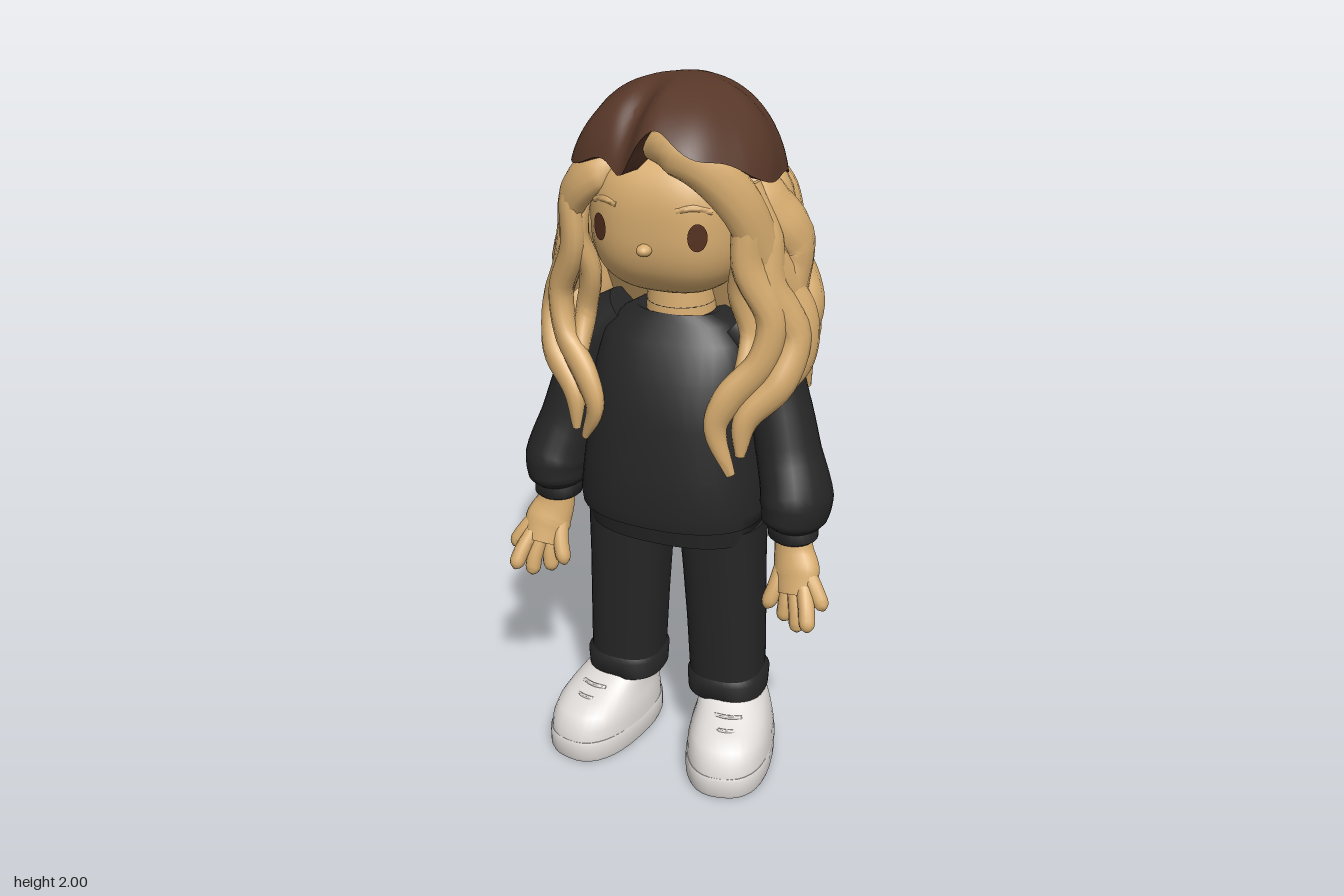
import * as THREE from 'three';
import { toCreasedNormals } from 'three/addons/utils/BufferGeometryUtils.js';

const flat = (name, color) => Object.assign(new THREE.MeshStandardMaterial({ color }), { name });
const V = (x, y, z) => new THREE.Vector3(x, y, z);
const spow = (v, p) => Math.sign(v) * Math.abs(v) ** p;

// Closed skin over a list of equal rings (counterclockwise about the travel direction)
function skin(rings, crease = 0.9) {
  const n = rings[0].length, pos = [], idx = [];
  rings.forEach(r => r.forEach(p => pos.push(p.x, p.y, p.z)));
  for (let i = 0; i < rings.length - 1; i++)
    for (let j = 0; j < n; j++) {
      const k = (j + 1) % n, a = i * n + j, b = i * n + k;
      idx.push(a, b, a + n, b, b + n, a + n);
    }
  [0, rings.length - 1].forEach((i, end) => {
    const c = rings[i].reduce((s, p) => s.add(p), V(0, 0, 0)).divideScalar(n);
    const ci = pos.length / 3;
    pos.push(c.x, c.y, c.z);
    for (let j = 0; j < n; j++) {
      const a = i * n + j, b = i * n + (j + 1) % n;
      idx.push(...(end ? [ci, a, b] : [ci, b, a]));
    }
  });
  const g = new THREE.BufferGeometry();
  g.setAttribute('position', new THREE.Float32BufferAttribute(pos, 3));
  g.setIndex(idx);
  return toCreasedNormals(g, crease);
}

// Stack of superellipse sections: [y, xCentre, zCentre, xRadius, zRadius]
function stack(rows, power = 2.4, n = 36) {
  return skin(rows.map(([y, cx, cz, rx, rz]) => Array.from({ length: n }, (_, j) => {
    const a = j / n * Math.PI * 2;
    return V(cx + rx * spow(Math.sin(a), 2 / power), y, cz + rz * spow(Math.cos(a), 2 / power));
  })));
}

// Tube of elliptical section along a curve; size(t) gives [thickness outward, width]
function limb(points, size, segs = 28, n = 12) {
  const curve = new THREE.CatmullRomCurve3(points);
  const rings = [];
  for (let i = 0; i <= segs; i++) {
    const t = i / segs, p = curve.getPoint(t), T = curve.getTangent(t);
    const O = V(p.x, 0, p.z);
    O.addScaledVector(T, -O.dot(T)).normalize();
    const B = T.clone().cross(O), [a, b] = size(t);
    rings.push(Array.from({ length: n }, (_, j) => {
      const f = j / n * Math.PI * 2;
      return p.clone().addScaledVector(O, a * Math.cos(f)).addScaledVector(B, b * Math.sin(f));
    }));
  }
  return skin(rings, 1.2);
}
const lock = (thick, width) => t => {
  const f = Math.min(1, 0.5 + 3 * t) * (t > 0.65 ? 1 - 0.72 * ((t - 0.65) / 0.35) ** 1.6 : 1);
  return [thick * f, width * f];
};
const finger = r => t => { const f = t > 0.75 ? Math.sqrt(Math.max(0.04, 1 - ((t - 0.75) / 0.25) ** 2)) : 1; return [r * f, r * f]; };
const lerpRow = (rows, t) => {
  const f = t * (rows.length - 1), i = Math.min(rows.length - 2, Math.floor(f));
  return rows[i].map((v, k) => v + (rows[i + 1][k] - v) * (f - i));
};

// Rounded-box head surface
const HEAD = { a: 0.215, b: 0.21, c: 0.235, y: 1.65, z: 0.015, n: 2.7 };
const faceZ = (x, y) => HEAD.z + HEAD.c * Math.max(0, 1 - Math.abs(x / HEAD.a) ** HEAD.n
  - Math.abs((y - HEAD.y) / HEAD.b) ** HEAD.n) ** (1 / HEAD.n);

export function createModel() {
  const tan = flat('golden tan', 0xd8ad70), root = flat('brown hair roots', 0x573728);
  const black = flat('black cloth', 0x262627), white = flat('white shoe', 0xdedad7), eyeMat = flat('eye brown', 0x55301f);
  const model = new THREE.Group();
  const add = (name, geo, mat) => {
    const m = new THREE.Mesh(geo, mat);
    m.name = name;
    model.add(m);
  };

  // Head: sphere pushed out to the rounded box
  const head = new THREE.SphereGeometry(1, 48, 36), hp = head.attributes.position;
  for (let i = 0; i < hp.count; i++) {
    const d = V().fromBufferAttribute(hp, i);
    const k = (Math.abs(d.x) ** HEAD.n + Math.abs(d.y) ** HEAD.n + Math.abs(d.z) ** HEAD.n) ** (-1 / HEAD.n);
    hp.setXYZ(i, d.x * k * HEAD.a, HEAD.y + d.y * k * HEAD.b, HEAD.z + d.z * k * HEAD.c);
  }
  head.computeVertexNormals();
  add('head', head, tan);
  add('neck', new THREE.CylinderGeometry(0.085, 0.1, 0.18, 28).translate(0, 1.41, 0.005), tan);
  add('choker', new THREE.TorusGeometry(0.09, 0.004, 6, 32).rotateX(Math.PI / 2).translate(0, 1.397, 0.005), black);
  add('nose', new THREE.SphereGeometry(0.02, 16, 12).scale(1, 0.8, 1.2).translate(0, 1.6, 0.252), tan);

  // Sweater body with hem band
  add('sweater', stack([
    [0.735, 0, 0.04, 0.25, 0.165], [0.79, 0, 0.04, 0.256, 0.175], [0.8, 0, 0.045, 0.268, 0.2], [0.84, 0, 0.045, 0.272, 0.207],
    [0.95, 0, 0.045, 0.258, 0.2], [1.1, 0, 0.042, 0.237, 0.183], [1.22, 0, 0.04, 0.225, 0.158], [1.31, 0, 0.025, 0.205, 0.125],
    [1.355, 0, 0.012, 0.165, 0.105], [1.38, 0, 0.006, 0.12, 0.095], [1.37, 0, 0.006, 0.09, 0.08]]), black);

  for (const s of [1, -1]) {
    const side = s > 0 ? 'left' : 'right';
    const P = list => list.map(([x, y, z]) => V(s * x, y, z));

    // Eyes and faint brows
    const eye = new THREE.CircleGeometry(1, 28), ep = eye.attributes.position;
    for (let i = 0; i < ep.count; i++) {
      const x = s * 0.133 + ep.getX(i) * 0.022, y = 1.64 + ep.getY(i) * 0.036;
      ep.setXYZ(i, x, y, faceZ(x, y) + 0.005);
    }
    eye.computeVertexNormals();
    add(side + 'Eye', eye, eyeMat);
    add(side + 'Brow', limb([0.08, 0.12, 0.16].map((x, i) => V(s * x, 1.705 + [0, 0.008, -0.004][i], faceZ(x, 1.705) - 0.004)),
      () => [0.006, 0.009], 10, 8), tan);
    add(side + 'Ear', new THREE.SphereGeometry(0.04, 16, 12).scale(0.6, 1.2, 0.8).translate(s * 0.215, 1.56, 0.03), tan);

    // Sleeve, cuff
    const sleeve = [[0.07, 0.075], [0.085, 0.09], [0.085, 0.092], [0.088, 0.1], [0.096, 0.124], [0.085, 0.112], [0.055, 0.06]];
    add(side + 'Sleeve', limb(P([[0.16, 1.34, 0], [0.24, 1.27, 0.003], [0.29, 1.14, 0.015], [0.33, 1, 0.035],
      [0.364, 0.88, 0.058], [0.362, 0.82, 0.068], [0.36, 0.79, 0.072]]), t => lerpRow(sleeve, t), 30, 24), black);
    add(side + 'Cuff', stack([[0.765, s * 0.362, 0.075, 0.06, 0.058], [0.773, s * 0.362, 0.075, 0.07, 0.066],
      [0.815, s * 0.36, 0.07, 0.072, 0.068], [0.83, s * 0.36, 0.07, 0.06, 0.06]], 2, 24), black);

    // Hand with spread digits
    add(side + 'Palm', limb(P([[0.362, 0.79, 0.075], [0.37, 0.73, 0.085], [0.385, 0.68, 0.105], [0.39, 0.62, 0.135]]),
      t => lerpRow([[0.05, 0.045], [0.058, 0.046], [0.07, 0.046], [0.055, 0.034]], t), 16, 18), tan);
    [[0.345, 0.69, 0.1, 0.313, 0.565, 0.15], [0.365, 0.64, 0.12, 0.362, 0.53, 0.14], [0.395, 0.63, 0.14, 0.412, 0.522, 0.17],
      [0.42, 0.65, 0.14, 0.452, 0.55, 0.205], [0.41, 0.7, 0.11, 0.482, 0.595, 0.15]].forEach(([x, y, z, X, Y, Z]) =>
      add(side + 'Finger', limb(P([[x, y, z], [(x + X) / 2 + 0.004, (y + Y) / 2, (z + Z) / 2 + 0.005], [X, Y, Z]]),
        finger(0.023), 14, 12), tan));

    // Trouser leg and turned cuff
    add(side + 'Leg', stack([[0.22, s * 0.162, 0.03, 0.108, 0.108], [0.45, s * 0.154, 0.03, 0.112, 0.114],
      [0.6, s * 0.147, 0.031, 0.115, 0.12], [0.77, s * 0.14, 0.032, 0.122, 0.124]], 2.5), black);
    add(side + 'LegCuff', stack([[0.19, s * 0.163, 0.03, 0.1, 0.1], [0.2, s * 0.163, 0.03, 0.115, 0.114],
      [0.255, s * 0.163, 0.03, 0.118, 0.118], [0.275, s * 0.162, 0.03, 0.106, 0.106]], 2.5), black);

    // Shoe: sole with welt, then upper rising to the ankle
    const shoe = new THREE.Group();
    shoe.name = side + 'Shoe';
    const part = (name, geo) => { const m = new THREE.Mesh(geo, white); m.name = name; shoe.add(m); };
    part('sole', stack([[0, 0, 0, 0.123, 0.207], [0.012, 0, 0, 0.127, 0.212], [0.06, 0, 0, 0.127, 0.212], [0.068, 0, 0, 0.124, 0.208]], 2.5));
    part('upper', stack([[0.06, 0, 0, 0.125, 0.209], [0.1, 0, -0.002, 0.123, 0.204], [0.135, 0, -0.012, 0.116, 0.188],
      [0.16, 0, -0.035, 0.107, 0.16], [0.185, -s * 0.005, -0.065, 0.1, 0.127], [0.21, -s * 0.015, -0.082, 0.09, 0.107],
      [0.222, -s * 0.015, -0.085, 0.075, 0.09]], 2.4));
    [[0.189, 0.072], [0.168, 0.112]].forEach(([y, z]) => part('lace', limb(
      [V(-0.04, y - 0.008, z - 0.012), V(0, y - 0.003, z), V(0.04, y - 0.008, z - 0.012)], () => [0.006, 0.006], 10, 8)));
    shoe.position.set(s * 0.203, 0, 0.112);
    shoe.rotation.y = s * 0.2;
    model.add(shoe);

    // Face-framing locks; the left side lifts into a swept fringe
    const fringe = s > 0
      ? [[0, 1.855, 0.22], [0.07, 1.86, 0.247], [0.15, 1.825, 0.235], [0.225, 1.73, 0.185]]
      : [[0.1, 1.8, 0.17], [0.15, 1.78, 0.18], [0.2, 1.74, 0.175], [0.245, 1.68, 0.15]];
    [
      [[...fringe, [0.27, 1.58, 0.11], [0.32, 1.45, 0.02], [0.335, 1.3, -0.05], [0.34, 1.16, -0.08]], 0.038, 0.06],
      [[[0.19, 1.8, 0.15], [0.24, 1.7, 0.16], [0.245, 1.56, 0.16], [0.3, 1.42, 0.13], [0.28, 1.3, 0.145],
        [0.205, 1.2, 0.185], [0.175, 1.12, 0.2], [0.215, 0.98 + (s < 0 ? 0.04 : 0), 0.185]], 0.034, 0.048],
      [[[0.23, 1.76, 0.11], [0.27, 1.62, 0.1], [0.285, 1.5, 0.11], [0.345, 1.36, 0.07], [0.325, 1.24, 0.12], [0.25, 1.14, 0.17], [0.24, 1.04, 0.185]], 0.04, 0.052],
      [[[0.23, 1.77, 0.06], [0.275, 1.66, 0.04], [0.285, 1.52, 0.05], [0.345, 1.4, 0.02], [0.355, 1.28, 0.03], [0.32, 1.19, 0.09]], 0.04, 0.058],
      [[[0.2, 1.75, 0.14], [0.235, 1.6, 0.15], [0.215, 1.48, 0.12], [0.24, 1.36, 0.1], [0.235, 1.24, 0.16], [0.19, 1.14, 0.19]], 0.03, 0.042],
    ].forEach(([pts, a, b]) => add(side + 'FrontLock', limb(P(pts), lock(a, b), 36), tan));
  }

  // Hair mass behind the head
  add('backHair', stack([[1.06, 0, -0.2, 0.17, 0.045], [1.2, 0, -0.18, 0.26, 0.075], [1.35, 0, -0.14, 0.28, 0.11],
    [1.5, 0, -0.1, 0.28, 0.15], [1.65, 0, -0.06, 0.275, 0.185], [1.78, 0, -0.03, 0.24, 0.19], [1.84, 0, -0.02, 0.19, 0.16]], 2.2), tan);

  // Chunky wavy locks fanned around the back, sweeping rearward as they fall
  const radii = [[0.2, 0.17], [0.25, 0.215], [0.28, 0.235], [0.3, 0.235], [0.325, 0.25], [0.335, 0.265], [0.31, 0.255], [0.26, 0.2]];
  for (let k = 0; k < 11; k++) {
    const u = k / 5 - 1, pts = [];
    const endY = 0.95 + 0.2 * u * u + (k % 3) * 0.03;
    for (let i = 0; i < 15; i++) {
      const t = i / 14, [rx, rz] = lerpRow(radii, t), on = Math.min(1, t * 3);
      const a = u * 1.8 * (1 - 0.25 * t) + 0.12 * on * Math.sin(t * 13 + k * 0.6);
      const r = 1 + 0.07 * Math.cos(t * 12 + k * 2.1) * on;
      pts.push(V(rx * r * Math.sin(a), 1.82 + (endY - 1.82) * t, -rz * r * Math.cos(a)));
    }
    add('backLock', limb(pts, lock(0.05, 0.076), 40), tan);
  }

  // Brown crown: lumpy dome, rolled forward on the left of the parting, tucked in at its edge
  const N = 120, rings = [];
  for (let i = 0; i <= 24; i++) {
    const v = Math.min(i, 22) / 22, tuck = i > 22 ? 1 - 0.13 * (i - 22) : 1;
    rings.push(Array.from({ length: N }, (_, j) => {
      const a = j / N * Math.PI * 2, sx = Math.sin(a), cz = Math.cos(a), front = Math.max(0, cz);
      const roll = Math.tanh((sx + 0.12) * 6);
      const edge = 0.055 + 0.1 * front ** 1.5 + 0.045 * front ** 3 * roll + 0.012 * Math.sin(9 * a);
      const phi = Math.max(0.004, v * Math.acos(edge / 0.297));
      const rise = Math.cos(phi), spread = (1 - rise ** 2.15) ** (1 / 2.15);
      const n = cz > 0 ? 2.6 : 2.2;
      const plan = spread * (Math.abs(sx) ** n + Math.abs(cz) ** n) ** (-1 / n);
      const lump = 1 + spread * (0.024 * Math.sin(5 * a + 1) + 0.022 * Math.sin(9 * a + phi * 3)) * (1 - 0.7 * front);
      const z = cz * plan * (cz > 0 ? 0.25 + (0.07 + 0.045 * roll) * Math.min(1, cz * 2) : 0.25) * lump;
      const x = sx * plan * 0.28 * lump * (1 + 0.6 * Math.min(0, z));
      const groove = 0.03 * Math.exp(-(((x + 0.06) / 0.035) ** 2)) * Math.min(1, Math.abs(z) * 6);
      return V(x * tuck + 0.01, 1.703 + rise * 0.297 * (1 + (lump - 1) * spread) - groove, z * tuck + 0.005);
    }));
  }
  add('crownHair', skin(rings.reverse(), 1.2), root);

  return model;
}
